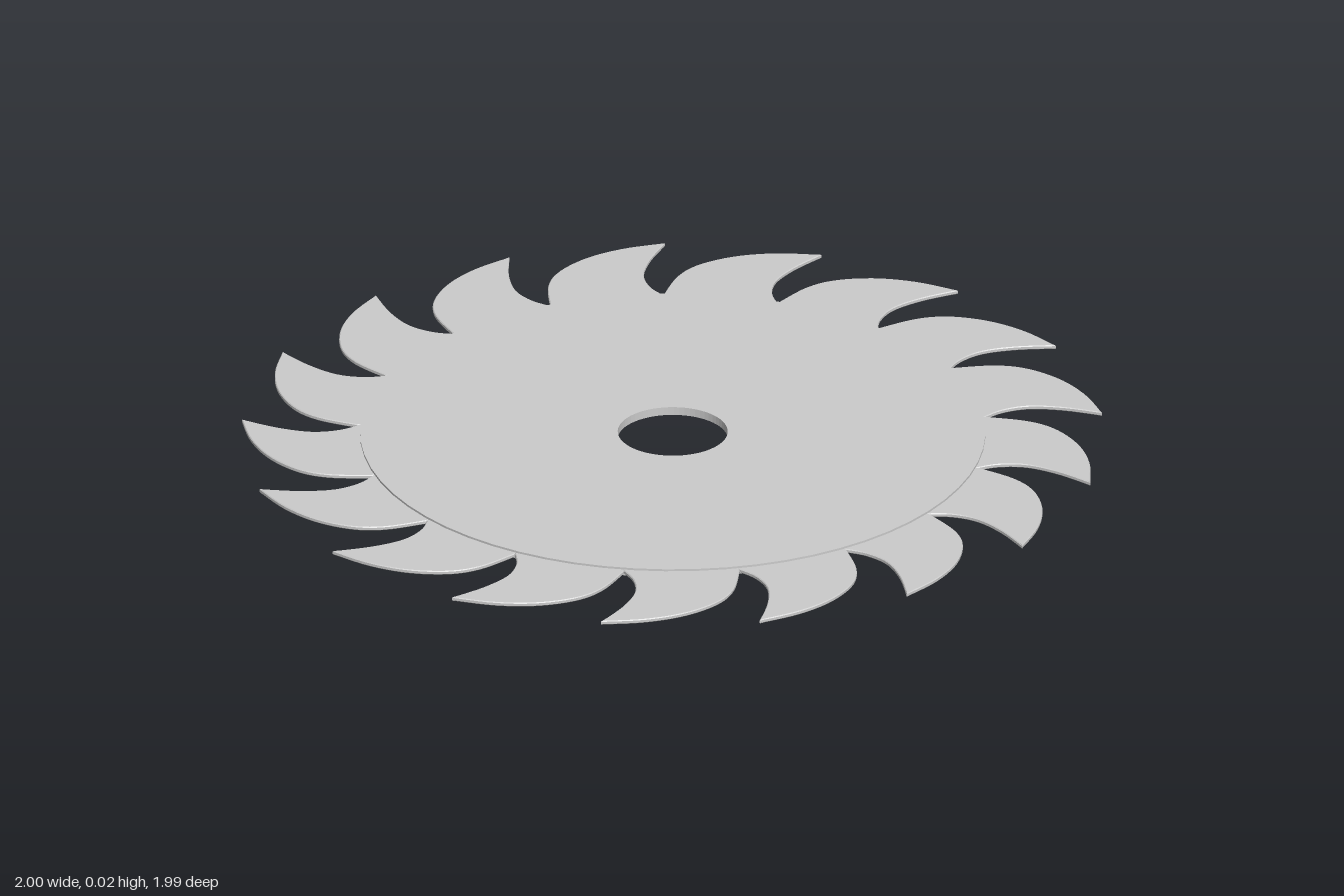
import * as THREE from 'three';

const TEETH = 17;
const DISC_RADIUS = 0.728;
const BORE_RADIUS = 0.128;
const DISC_THICKNESS = 0.02;
const TOOTH_THICKNESS = 0.01;

const points = (list) => list.map(([x, y]) => new THREE.Vector2(x, y));

// Extrude a flat outline upwards, so that it lies in the xz plane from y = 0
function slab(shape, depth, curveSegments, bevel = 0) {
  const geometry = new THREE.ExtrudeGeometry(shape, {
    depth: depth - 2 * bevel,
    curveSegments,
    bevelEnabled: bevel > 0,
    bevelThickness: bevel,
    bevelSize: bevel,
    bevelOffset: -bevel,
    bevelSegments: 1,
  });
  return geometry.translate(0, 0, bevel).rotateX(-Math.PI / 2);
}

// Hooked tooth: convex back up to the tip, hollow cutting face down to the gullet
function toothShape() {
  const shape = new THREE.Shape();
  shape.moveTo(0, 0.69);
  shape.lineTo(-0.25, 0.645);
  shape.lineTo(-0.266, 0.685);
  shape.splineThru(points([[-0.268, 0.785], [-0.242, 0.86], [-0.177, 0.93], [-0.09, 0.978], [0.01, 1.005]]));
  shape.splineThru(points([[-0.027, 0.92], [-0.044, 0.84], [-0.03, 0.775], [0.002, 0.728]]));
  return shape;
}

export function createModel() {
  const blade = new THREE.Group();
  blade.name = 'sawBlade';
  const steel = new THREE.MeshStandardMaterial({ color: 0xcccccc });

  // Disc with the arbor hole
  const outline = new THREE.Shape().absarc(0, 0, DISC_RADIUS, 0, Math.PI * 2, false);
  outline.holes.push(new THREE.Path().absarc(0, 0, BORE_RADIUS, 0, Math.PI * 2, true));
  const disc = new THREE.Mesh(slab(outline, DISC_THICKNESS, 32), steel);
  disc.name = 'disc';
  blade.add(disc);

  // Ring of thinner teeth, centred in the thickness of the disc
  const teeth = new THREE.Group();
  teeth.name = 'teeth';
  const toothGeometry = slab(toothShape(), TOOTH_THICKNESS, 4, 0.002);
  for (let i = 0; i < TEETH; i++) {
    const tooth = new THREE.Mesh(toothGeometry, steel);
    tooth.name = `tooth${i + 1}`;
    tooth.rotation.y = (-i * Math.PI * 2) / TEETH;
    teeth.add(tooth);
  }
  teeth.position.y = (DISC_THICKNESS - TOOTH_THICKNESS) / 2;
  blade.add(teeth);

  // The odd tooth count puts the axle slightly off the middle of the bounds
  blade.position.set(-0.003, 0, 0.008);
  const model = new THREE.Group();
  model.name = 'circularSawBlade';
  model.add(blade);
  return model;
}
